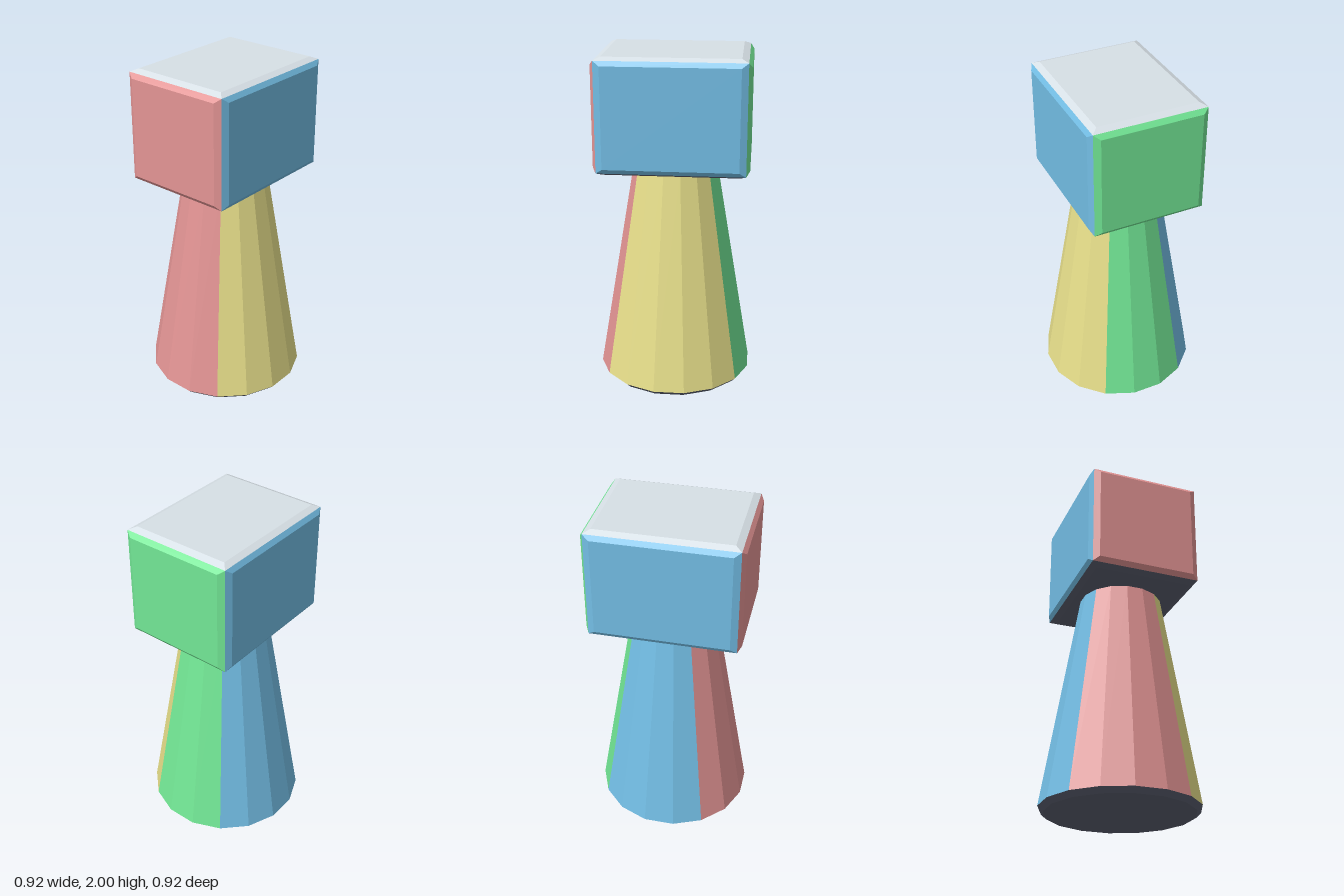
import * as THREE from 'three';

const paint = (name, color) => {
  const m = new THREE.MeshStandardMaterial({ color });
  m.name = name;
  return m;
};

// Give every facet its own flat normal.
const faceted = (geometry) => {
  const g = geometry.toNonIndexed();
  g.computeVertexNormals();
  return g;
};

// One side of a block: a flat panel whose sloping border meets its neighbours at the edges.
function panelGeometry(half, edgeInset, panelInset, axis, sign) {
  const u = (axis + 1) % 3, v = (axis + 2) % 3;
  const corners = [[-1, -1], [1, -1], [1, 1], [-1, 1]];
  if (sign < 0) corners.reverse();
  const positions = [];
  const addRing = (inset, rise) => {
    for (const [cu, cv] of corners) {
      const p = [0, 0, 0];
      p[axis] = sign * rise;
      p[u] = cu * (half[u] - inset[u]);
      p[v] = cv * (half[v] - inset[v]);
      positions.push(...p);
    }
  };
  addRing(edgeInset, half[axis] - edgeInset[axis]);
  addRing(panelInset, half[axis]);
  const index = [4, 5, 6, 4, 6, 7];
  for (let i = 0; i < 4; i++) {
    const j = (i + 1) % 4;
    index.push(i, j, j + 4, i, j + 4, i + 4);
  }
  const g = new THREE.BufferGeometry();
  g.setAttribute('position', new THREE.Float32BufferAttribute(positions, 3));
  g.setIndex(index);
  return g;
}

export function createModel() {
  const green = paint('green', 0x73e896);
  const red = paint('red', 0xe39494);
  const blue = paint('blue', 0x73bee5);
  const yellow = paint('yellow', 0xe7df8a);
  const grey = paint('pale grey', 0xd7e0e6);
  const charcoal = paint('charcoal', 0x5e6272);

  const model = new THREE.Group();
  model.name = 'taperedPostWithBlock';
  const addGroup = (name, y = 0) => {
    const group = new THREE.Group();
    group.name = name;
    group.position.y = y;
    model.add(group);
    return group;
  };
  const add = (parent, name, geometry, material) => {
    const mesh = new THREE.Mesh(faceted(geometry), material);
    mesh.name = name;
    parent.add(mesh);
  };

  // Sixteen-sided tapered post, split into coloured runs of facets.
  const sides = 16, step = (Math.PI * 2) / sides;
  const rimY = 0.03, topY = 1.34, rimR = 0.467, topR = 0.247;
  const post = addGroup('post', (topY + rimY) / 2);
  let start = -2.5;
  for (const [name, count, material] of [
    ['postFront', 5, yellow],
    ['postLeft', 3, green],
    ['postBack', 4, blue],
    ['postRight', 4, red],
  ]) {
    add(post, name, new THREE.CylinderGeometry(
      topR, rimR, topY - rimY, count, 1, true, start * step, count * step), material);
    start += count;
  }

  // Dark underside with a chamfered rim.
  const profile = [[0, 0], [0.436, 0], [rimR, rimY]].map((p) => new THREE.Vector2(...p));
  add(model, 'foot', new THREE.LatheGeometry(profile, sides, step / 2), charcoal);

  // Block on top with bevelled edges and mitred corners, one colour per side.
  const half = [0.445, 0.336, 0.347];
  const edgeInset = [0.021, 0.017, 0.0175];
  const panelInset = [0.059, 0.044, 0.053];
  const block = addGroup('block', 2 - half[1]);
  for (const [name, axis, sign, material] of [
    ['blockLeft', 0, 1, green],
    ['blockRight', 0, -1, red],
    ['blockTop', 1, 1, grey],
    ['blockBottom', 1, -1, charcoal],
    ['blockFront', 2, 1, blue],
    ['blockBack', 2, -1, blue],
  ]) {
    add(block, name, panelGeometry(half, edgeInset, panelInset, axis, sign), material);
  }

  return model;
}
